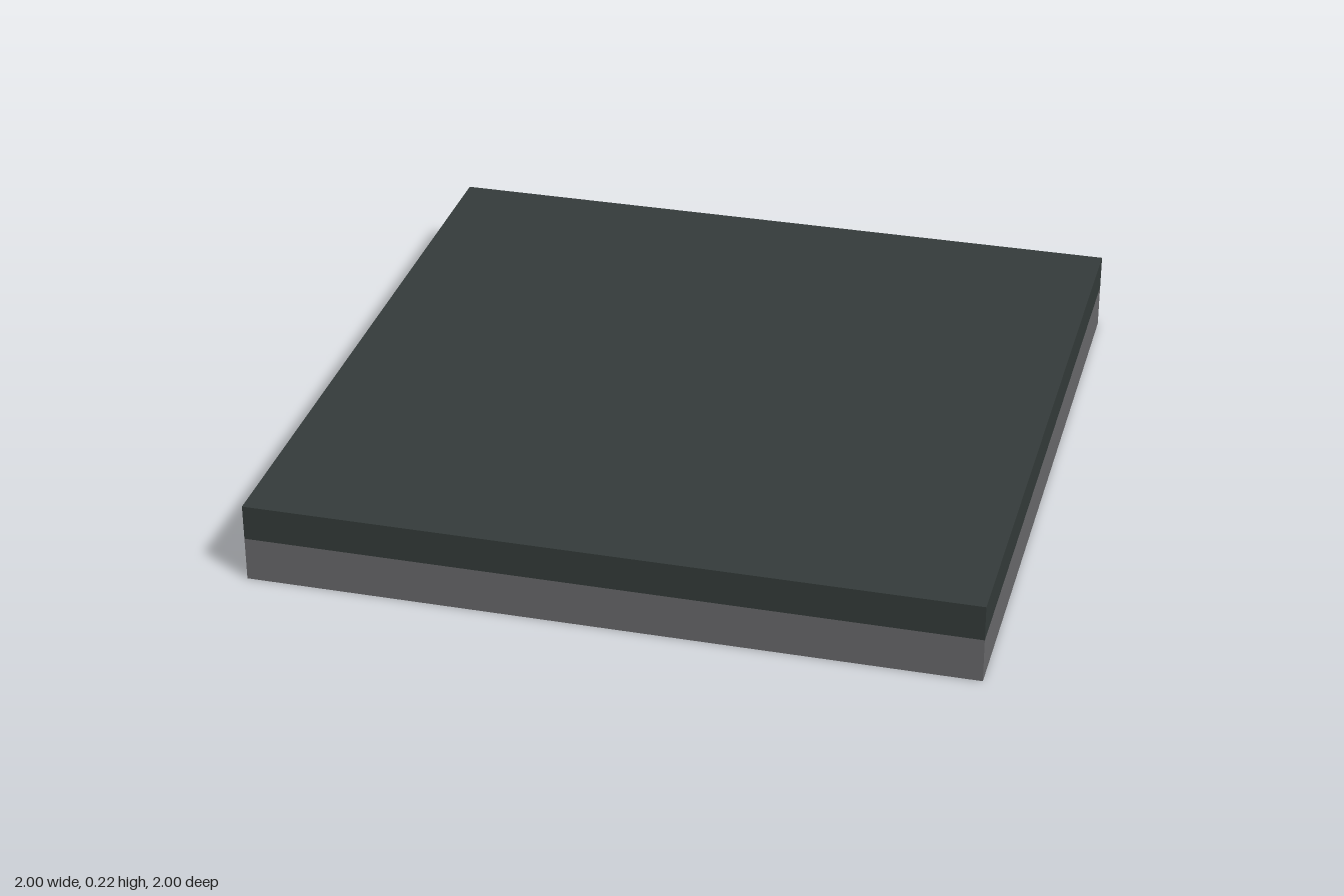
import * as THREE from 'three';

const material = (name, color) => {
  const m = new THREE.MeshStandardMaterial({ color });
  m.name = name;
  return m;
};

export function createModel() {
  const model = new THREE.Group();
  model.name = 'floorPlatform';
  const slabDark = material('dark slate', 0x353c3b);
  const steel = material('grey steel', 0x6b6b6d);
  const lining = material('pale lining', 0xb0aea8);
  const grille = material('dark grille', 0x3a3a3c);

  // Box from its extents on each axis
  const box = (name, mat, [x0, x1], [y0, y1], [z0, z1], parent = model) => {
    const mesh = new THREE.Mesh(new THREE.BoxGeometry(x1 - x0, y1 - y0, z1 - z0), mat);
    mesh.position.set((x0 + x1) / 2, (y0 + y1) / 2, (z0 + z1) / 2);
    mesh.name = name;
    parent.add(mesh);
  };

  // Top slab and the panel closing the frame beneath it
  box('topSlab', slabDark, [-1, 1], [0.125, 0.225], [-1, 1]);
  box('undersidePanel', lining, [-0.93, 0.93], [0.1, 0.125], [-0.93, 0.93]);

  // Perimeter frame: end beams run full width, side beams fit between them
  for (const [name, a, b] of [['front', 0.93, 1], ['back', -1, -0.93]]) {
    box(name + 'Beam', steel, [-1, 1], [0, 0.125], [a, b]);
  }
  for (const [name, a, b] of [['left', 0.93, 1], ['right', -1, -0.93]]) {
    box(name + 'Beam', steel, [a, b], [0, 0.125], [-0.93, 0.93]);
  }

  // Paired rails joined by flat straps, one pair each side of the middle
  for (const [side, x] of [['left', 0.305], ['right', -0.305]]) {
    const runner = new THREE.Group();
    runner.name = side + 'Runner';
    for (const dx of [-0.065, 0.065]) {
      box('rail', steel, [x + dx - 0.01, x + dx + 0.01], [0.035, 0.1], [-0.93, 0.93], runner);
    }
    for (const z of [-0.905, -0.6, 0, 0.6, 0.905]) {
      box('strap', steel, [x - 0.075, x + 0.075], [0.03, 0.04], [z - 0.02, z + 0.02], runner);
    }
    model.add(runner);
  }

  // Central vent of parallel slats
  const vent = new THREE.Group();
  vent.name = 'vent';
  const slats = 8;
  for (let i = 0; i < slats; i++) {
    const z = -0.14 + (0.28 * i) / (slats - 1);
    box('slat', grille, [-0.14, 0.14], [0.078, 0.1], [z - 0.012, z + 0.012], vent);
  }
  box('ventBacking', grille, [-0.14, 0.14], [0.094, 0.1], [-0.14, 0.14], vent);
  model.add(vent);

  return model;
}
